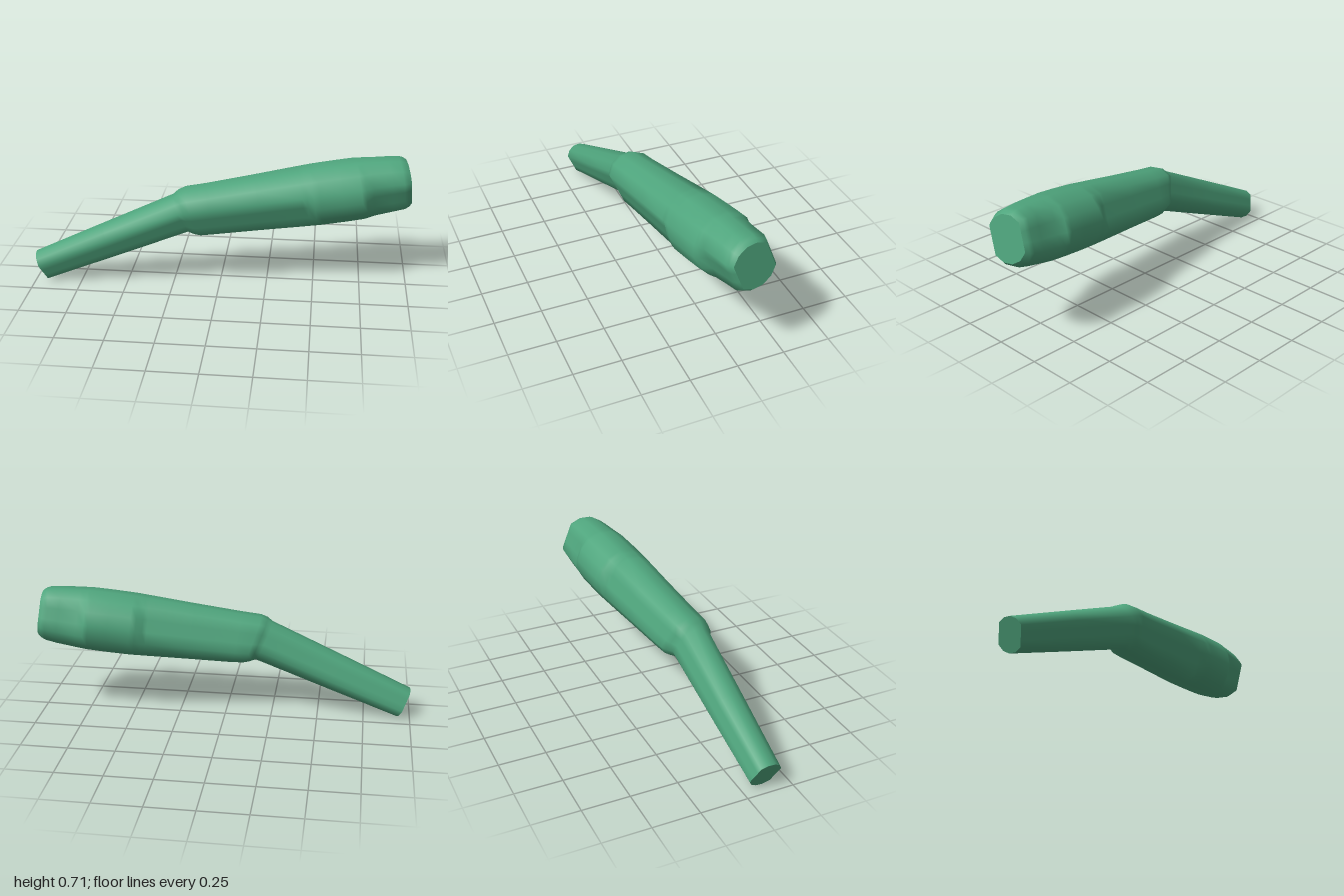
import * as THREE from 'three';

const COLOR = 0x4fa57d;
// Section angles: two flat-able sides and two faceted arcs
const ANGLES = [-36, -12, 12, 36, 63, 90, 117, 144, 168, 192, 216, 243, 270, 297];
const RAD = Math.PI / 180;

// Rings along the tool: x, y, tilt in degrees, radius, side flatness (1 = flat), width scale
const RINGS = [
  [-1.997, -0.239, 16.7, 0.086, 1, 0.96],   // grip end
  [-1.6, -0.12, 16.7, 0.1, 1, 0.95],
  [-1.2, 0, 16.7, 0.113, 1, 0.94],          // grip meets collar
  [-1.168, 0.002, 15, 0.13, 1, 0.98],
  [-1.135, 0.002, 13, 0.139, 1, 1],
  [-1.05, 0, 4, 0.14, 1, 1],
  [-0.8, 0, 0, 0.151, 1, 1],
  [-0.57, 0, 0, 0.163, 1, 1],               // long side flats end
  [-0.545, 0, 0, 0.164, 0.85, 1],
  [-0.51, 0, 0, 0.166, 0.1, 1],
  [-0.48, 0, 0, 0.167, 0, 1],
  [-0.36, 0, 0, 0.168, 0, 1],
  [-0.265, 0, 0, 0.167, 0, 1],
  [-0.24, 0, 0, 0.165, 0.25, 0.99],         // short side flats begin
  [-0.2, 0, 0, 0.162, 1, 0.94],
  [-0.1, 0, 0, 0.153, 1, 0.95],
  [-0.04, 0, 0, 0.144, 1, 1],
  [-0.018, 0, 0, 0.135, 1, 1],              // rounded rim
  [0, 0, 0, 0.12, 1, 1],
];

function ringPoints([x, y, tilt, r, flat, width]) {
  const t = tilt * RAD;
  return ANGLES.map((deg) => {
    const c = Math.cos(deg * RAD);
    const s = Math.sin(deg * RAD);
    const limit = Math.cos(36 * RAD) * Math.sign(c);
    const side = Math.abs(c) > Math.abs(limit) ? THREE.MathUtils.lerp(c, limit, flat) : c;
    return [x - Math.sin(t) * r * s, y + Math.cos(t) * r * s, r * side * width];
  });
}

function makeGeometry(points, index) {
  const g = new THREE.BufferGeometry();
  g.setAttribute('position', new THREE.Float32BufferAttribute(points.flat(), 3));
  g.setIndex(index);
  g.computeVertexNormals();
  return g;
}

// Smooth skin through all rings
function loft(rings) {
  const n = ANGLES.length;
  const index = [];
  for (let i = 0; i < rings.length - 1; i++) {
    for (let j = 0; j < n; j++) {
      const k = (j + 1) % n;
      const a = i * n + j, b = i * n + k, c = a + n, d = b + n;
      index.push(a, c, b, b, c, d);
    }
  }
  return makeGeometry(rings.flatMap(ringPoints), index);
}

// Flat end face with its own sharp edge
function cap(ring, forward) {
  const n = ANGLES.length;
  const index = [];
  for (let j = 0; j < n; j++) {
    const k = (j + 1) % n;
    if (forward) index.push(n, k, j);
    else index.push(n, j, k);
  }
  return makeGeometry([...ringPoints(ring), [ring[0], ring[1], 0]], index);
}

export function createModel() {
  const model = new THREE.Group();
  model.name = 'bentHandle';
  const material = new THREE.MeshStandardMaterial({ color: COLOR });
  const add = (name, geometry) => {
    const mesh = new THREE.Mesh(geometry, material);
    mesh.name = name;
    model.add(mesh);
  };

  add('handleBody', loft(RINGS));
  add('gripEndFace', cap(RINGS[0], false));
  add('headEndFace', cap(RINGS[RINGS.length - 1], true));

  // Tilt the whole tool: head axis, then the lean of its side flats
  const axis = new THREE.Vector3(0.98, 0.135, -0.133).normalize();
  const side = axis.clone().cross(new THREE.Vector3(-0.08, 0.936, 0.346)).normalize();
  const up = side.clone().cross(axis);
  model.quaternion.setFromRotationMatrix(new THREE.Matrix4().makeBasis(axis, up, side));
  model.position.set(0.978, 0.577, -0.07);
  return model;
}
